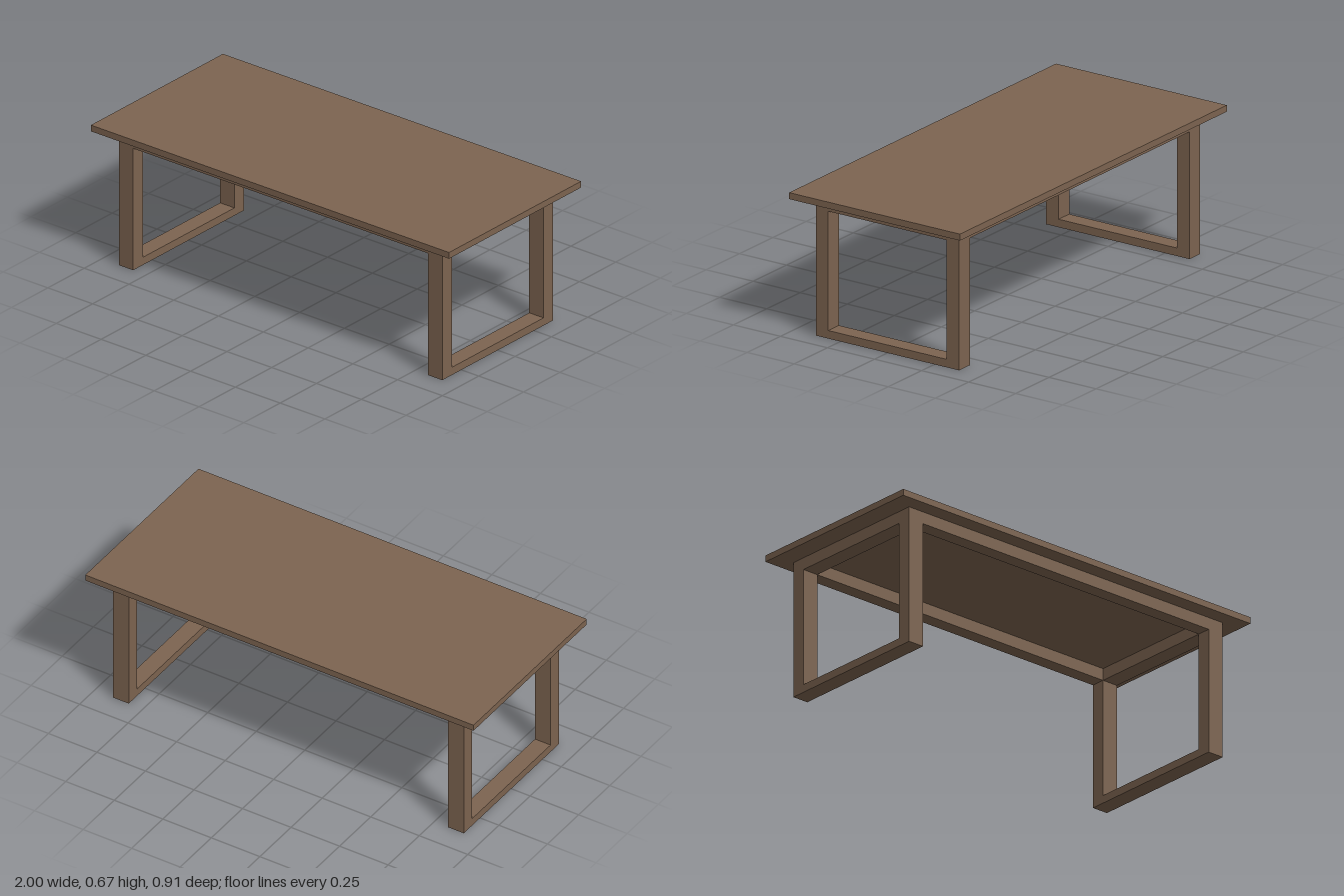
import * as THREE from 'three';

export function createModel() {
  const table = new THREE.Group();
  table.name = 'table';
  const wood = new THREE.MeshStandardMaterial({ color: 0x7d6450 });
  wood.name = 'brown wood';

  // Box given by its extents on each axis
  function board(name, [x0, x1], [y0, y1], [z0, z1], parent = table) {
    const mesh = new THREE.Mesh(new THREE.BoxGeometry(x1 - x0, y1 - y0, z1 - z0), wood);
    mesh.name = name;
    mesh.position.set((x0 + x1) / 2, (y0 + y1) / 2, (z0 + z1) / 2);
    parent.add(mesh);
  }

  const topY = 0.643, apronY = 0.587, footY = 0.037;
  const legOut = 0.903, legIn = 0.823; // along x
  const sideOut = 0.381, sideIn = 0.315; // along z

  board('tableTop', [-1, 1], [topY, 0.673], [-0.454, 0.454]);

  // Closed leg frame at each end
  for (const s of [1, -1]) {
    const frame = new THREE.Group();
    frame.name = s > 0 ? 'leftLegFrame' : 'rightLegFrame';
    table.add(frame);
    const x = s > 0 ? [legIn, legOut] : [-legOut, -legIn];
    board('frontLeg', x, [0, topY], [sideIn, sideOut], frame);
    board('backLeg', x, [0, topY], [-sideOut, -sideIn], frame);
    board('floorRail', x, [0, footY], [-sideIn, sideIn], frame);
    board('endApron', x, [apronY, topY], [-sideIn, sideIn], frame);
  }

  // Long aprons joining the two frames
  board('frontApron', [-legIn, legIn], [apronY, topY], [sideIn, sideOut]);
  board('backApron', [-legIn, legIn], [apronY, topY], [-sideOut, -sideIn]);

  return table;
}
